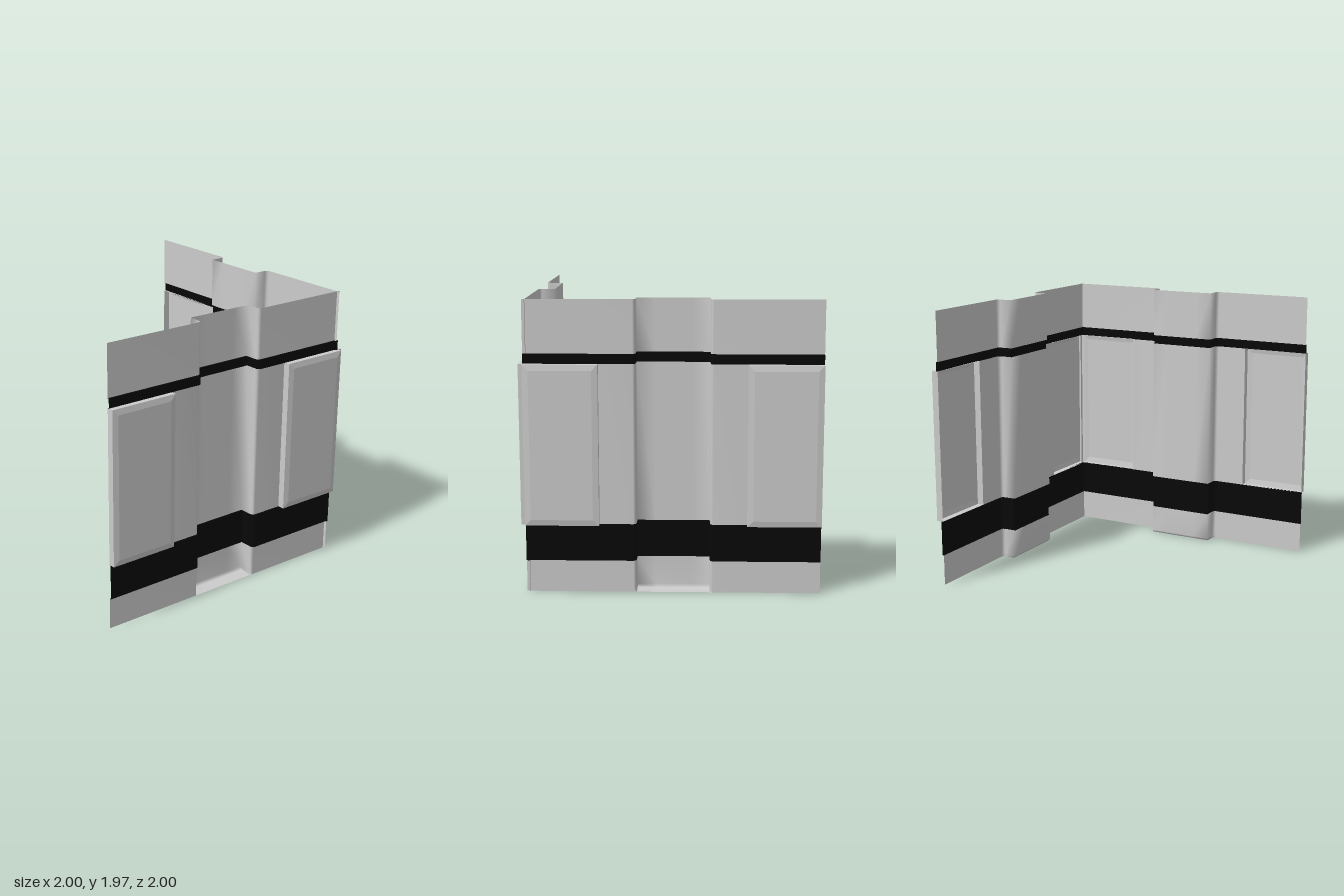
import * as THREE from 'three';

const HALF = 0.9825, FACE = 0.943, DEPTH = 0.113, PANEL_IN = 0.49;
const grey = new THREE.MeshStandardMaterial({ color: 0xcccccc, side: THREE.DoubleSide });
const black = new THREE.MeshStandardMaterial({ color: 0x080808, side: THREE.DoubleSide });

// Skin a list of equally long rows of [x, y, z] points
function skin(name, rows, material, flat = false) {
  const n = rows[0].length, index = [];
  for (let j = 0; j < rows.length - 1; j++) {
    for (let i = 0; i < n - 1; i++) {
      const a = j * n + i, b = a + n;
      index.push(a, b, b + 1, a, b + 1, a + 1);
    }
  }
  let geo = new THREE.BufferGeometry();
  geo.setAttribute('position', new THREE.Float32BufferAttribute(rows.flat(2), 3));
  geo.setIndex(index);
  if (flat) geo = geo.toNonIndexed();
  geo.computeVertexNormals();
  const mesh = new THREE.Mesh(geo, material);
  mesh.name = name;
  return mesh;
}

// Plan of half a wall: [x, share of the recess depth], from centre to edge
const halfPlan = [[0.12, 1], [0.243, 1], [0.245, 0.2], [0.251, 0.06], [0.265, 0]];

// Wall row at height y; out shifts it forward, k scales the recess depth
function wallRow(half, y, out = 0, k = 1) {
  const right = [...halfPlan, [half, 0]];
  const left = right.map(([x, d]) => [-x, d]).reverse();
  return [...left, ...right].map(([x, d]) => [x, y, FACE + out - DEPTH * d * k]);
}

// Raised strip that follows the wall plan
function band(name, y0, y1) {
  const out = 0.012;
  const rows = [[y1, 0], [y1, out], [y0, out], [y0, 0]].map(([y, o]) => wallRow(HALF, y, o));
  return skin(name, rows, black, true);
}

// Open-backed raised panel with a shallow bevelled border
function panel(name, x0, x1, y0, y1) {
  const ring = (inset, z) => {
    const l = x0 + inset, r = x1 - inset, b = y0 + inset, t = y1 - inset;
    return [[l, b, z], [l, t, z], [r, t, z], [r, b, z], [l, b, z]];
  };
  const centre = Array.from({ length: 5 }, () => [(x0 + x1) / 2, (y0 + y1) / 2, 1]);
  return skin(name, [ring(0, FACE), ring(0, 0.992), ring(0.04, 1), centre], grey, true);
}

function makeWall(name) {
  const wall = new THREE.Group();
  wall.name = name;

  // Lower skirt, with the recess closed by a floor
  wall.add(skin('lowerSkirt', [
    wallRow(HALF, 0.22),
    wallRow(HALF, 0.02),
    wallRow(HALF, 0, 0, 0.85),
    wallRow(HALF, 0, 0, 0),
  ], grey));
  wall.add(band('lowerBand', 0.22, 0.47));

  // Middle sheet between the two panels
  wall.add(skin('middleSheet', [wallRow(PANEL_IN, 1.55), wallRow(PANEL_IN, 0.47)], grey));
  wall.add(panel('leftPanel', PANEL_IN, HALF, 0.47, 1.55));
  wall.add(panel('rightPanel', -HALF, -PANEL_IN, 0.47, 1.55));

  // Upper band and top sheet
  wall.add(band('upperBand', 1.55, 1.615));
  wall.add(skin('topSheet', [wallRow(HALF, 1.97), wallRow(HALF, 1.615)], grey));
  return wall;
}

export function createModel() {
  const model = new THREE.Group();
  model.name = 'cornerWall';

  const front = makeWall('frontWall');
  front.position.x = -0.0175;

  const side = makeWall('sideWall');
  side.rotation.y = Math.PI / 2;
  side.position.z = -0.0175;

  model.add(front, side);
  return model;
}
